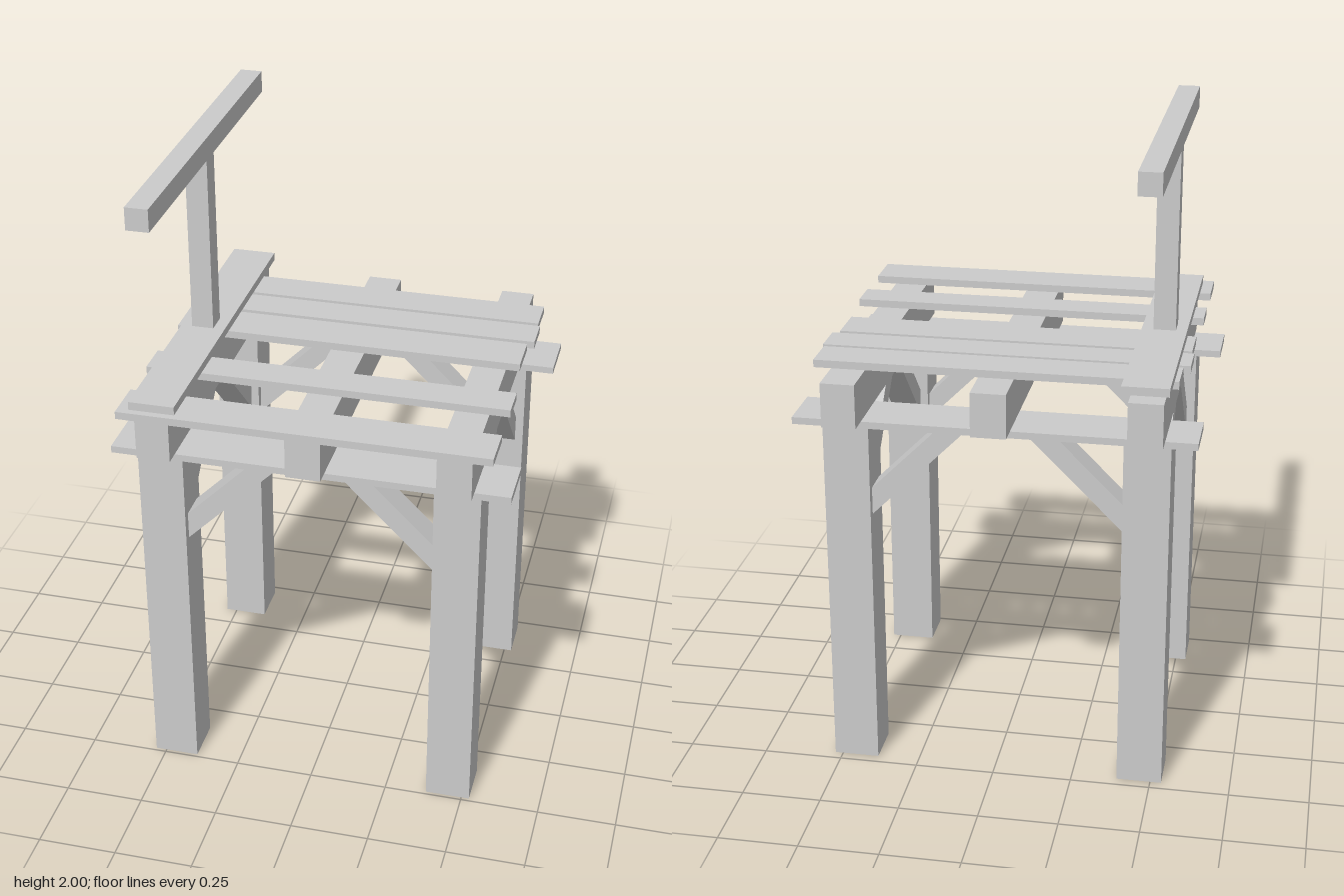
import * as THREE from 'three';

export function createModel() {
  const model = new THREE.Group();
  model.name = 'timberPlatform';
  const wood = new THREE.MeshStandardMaterial({ color: 0xcccccc, flatShading: true });

  // Plank or timber given by its limits along each axis
  function timber(name, [x0, x1], [y0, y1], [z0, z1]) {
    const mesh = new THREE.Mesh(new THREE.BoxGeometry(x1 - x0, y1 - y0, z1 - z0), wood);
    mesh.position.set((x0 + x1) / 2, (y0 + y1) / 2, (z0 + z1) / 2);
    mesh.name = name;
    model.add(mesh);
  }

  // Diagonal brace: vertical cut against the leg, level cut at the top
  function brace(name, foot, tip, low, high, width) {
    const s = Math.sign(tip - foot);
    const cut = 0.088;
    const shape = new THREE.Shape([
      new THREE.Vector2(foot, low),
      new THREE.Vector2(tip, high),
      new THREE.Vector2(tip - s * cut, high),
      new THREE.Vector2(foot, low + cut),
    ]);
    const geometry = new THREE.ExtrudeGeometry(shape, { depth: width, bevelEnabled: false });
    geometry.translate(0, 0, -width / 2);
    const mesh = new THREE.Mesh(geometry, wood);
    mesh.name = name;
    model.add(mesh);
    return mesh;
  }

  const legX = [[-0.535, -0.393], [0.383, 0.525]];
  const legZ = [[-0.467, -0.325], [0.347, 0.489]];
  const middle = ([a, b]) => (a + b) / 2;

  // Four legs
  for (const x of legX) for (const z of legZ) timber('leg', x, [0, 1.15], z);

  // Boards lying across the leg tops
  for (const z of [[-0.484, -0.31], [0.328, 0.502]]) {
    timber('legBoard', [-0.615, 0.615], [1.15, 1.172], z);
  }

  // Floor beams running front to back
  for (const x of [[-0.517, -0.412], [-0.055, 0.053], [0.4, 0.505]]) {
    timber('floorBeam', x, [1.172, 1.312], [-0.548, 0.548]);
  }

  // Braces along x, under the leg boards
  for (const z of legZ) {
    brace('sideBrace', -0.393, -0.093, 0.85, 1.15, 0.09).position.z = middle(z);
    brace('sideBrace', 0.383, 0.083, 0.85, 1.15, 0.09).position.z = middle(z);
  }

  // Braces along z, under the outer floor beams
  for (const x of legX) {
    for (const [foot, tip] of [[0.347, 0.05], [-0.325, -0.028]]) {
      const mesh = brace('depthBrace', -foot, -tip, 0.875, 1.172, 0.09);
      mesh.rotation.y = Math.PI / 2;
      mesh.position.x = middle(x);
    }
  }

  // Unevenly spaced floor slats
  const slats = [
    [[-0.547, 0.56], [-0.417, -0.293]],
    [[-0.568, 0.568], [-0.277, -0.164]],
    [[-0.56, 0.548], [-0.146, -0.006]],
    [[-0.568, 0.568], [0.173, 0.282]],
    [[-0.568, 0.568], [0.43, 0.57]],
  ];
  for (const [x, z] of slats) timber('floorSlat', x, [1.312, 1.336], z);

  // Base board, post and rail along one edge
  timber('railBase', [-0.533, -0.391], [1.336, 1.362], [-0.548, 0.548]);
  timber('railPost', [-0.498, -0.428], [1.362, 1.93], [-0.036, 0.036]);
  timber('topRail', [-0.498, -0.428], [1.93, 2], [-0.57, 0.57]);

  return model;
}
